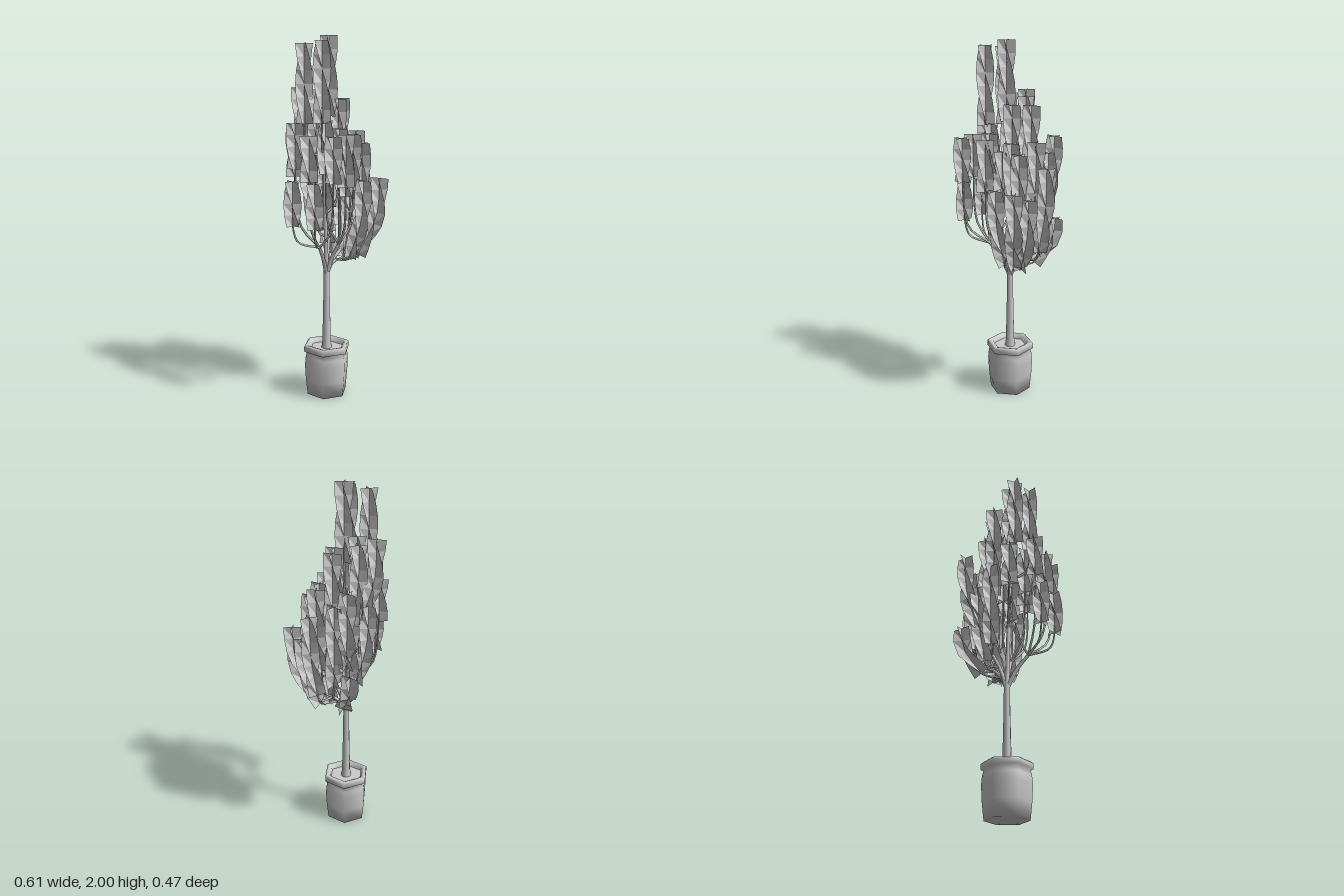
import * as THREE from 'three';

const V = (x, y, z) => new THREE.Vector3(x, y, z);
const wood = new THREE.MeshStandardMaterial({ color: 0xcccccc });
const clay = new THREE.MeshStandardMaterial({ color: 0xcccccc, side: THREE.DoubleSide });
const foliage = new THREE.MeshStandardMaterial({ color: 0xcccccc, side: THREE.DoubleSide, flatShading: true });
const axis = V(-0.02, 0, -0.022); // centre of pot and trunk

function add(parent, name, geometry, material) {
  const mesh = new THREE.Mesh(geometry, material);
  mesh.name = name;
  parent.add(mesh);
  return mesh;
}

// Solid of revolution from a short profile of radius and height
function turned(profile, sides) {
  return new THREE.LatheGeometry(profile.map(p => new THREE.Vector2(...p)), sides);
}

// Tube along points whose radius runs from r0 to r1
function taperedTube(points, r0, r1, sides) {
  const curve = new THREE.CatmullRomCurve3(points);
  const rings = 10;
  const geo = new THREE.TubeGeometry(curve, rings, 1, sides);
  const pos = geo.attributes.position;
  for (let i = 0; i < pos.count; i++) {
    const t = Math.floor(i / (sides + 1)) / rings;
    const c = curve.getPointAt(t);
    const p = V().fromBufferAttribute(pos, i).sub(c).multiplyScalar(r0 + (r1 - r0) * t).add(c);
    pos.setXYZ(i, p.x, p.y, p.z);
  }
  return geo;
}

// Two crossed blades winding slowly round their shared path:
// each row has the midrib followed by four outer corners
function twistedLeaf(points, startAngle) {
  const curve = new THREE.CatmullRomCurve3(points);
  const rows = Math.max(4, Math.round(curve.getLength() / 0.068));
  const half = 0.048, verts = [], index = [];
  for (let i = 0; i <= rows; i++) {
    const c = curve.getPointAt(i / rows), t = curve.getTangentAt(i / rows);
    verts.push(c.x, c.y, c.z);
    for (let k = 0; k < 4; k++) {
      const a = startAngle + i * Math.PI / 7 + k * Math.PI / 2;
      const across = V(Math.cos(a), 0, Math.sin(a));
      across.addScaledVector(t, -across.dot(t)).normalize();
      const p = c.clone().addScaledVector(across, half);
      verts.push(p.x, p.y, p.z);
    }
  }
  for (let i = 0; i < rows; i++) for (let k = 1; k <= 4; k++) {
    const a = i * 5, b = a + 5;
    index.push(a, a + k, b + k, a, b + k, b);
  }
  const geo = new THREE.BufferGeometry();
  geo.setAttribute('position', new THREE.Float32BufferAttribute(verts, 3));
  geo.setIndex(index);
  geo.computeVertexNormals();
  return geo;
}

// Limb from the trunk to a fork, with leaves given by their tips.
// lean is how far each leaf's foot is drawn in towards the fork.
function limb(name, fork, length, lean, tips) {
  const group = new THREE.Group();
  group.name = name;
  const end = V(...fork);
  const root = V(axis.x, 0.7, axis.z);
  const bend = root.clone().lerp(end, 0.5);
  bend.y += 0.02;
  add(group, 'limb', taperedTube([root, bend, end], 0.013, 0.009, 6), wood);

  tips.forEach(([x, y, z], i) => {
    const tip = V(x, y, z);
    const foot = tip.clone().lerp(end, lean);
    foot.y = Math.max(0.79, y - length);
    // Twig sweeps outward first, then turns up into the leaf
    const start = end.y < foot.y ? end : bend;
    const elbow = V(
      THREE.MathUtils.lerp(start.x, foot.x, 0.8),
      THREE.MathUtils.lerp(start.y, foot.y, 0.3),
      THREE.MathUtils.lerp(start.z, foot.z, 0.8));
    add(group, 'twig', taperedTube([start, elbow, foot, foot.clone().lerp(tip, 0.2)], 0.007, 0.004, 5), wood);

    // Leaning leaves bow outward, so their upper half stands upright
    const mid = tip.clone().lerp(foot, 0.15);
    mid.y = (tip.y + foot.y) / 2;
    add(group, 'leaf', twistedLeaf([foot, mid, tip], i * 1.1), foliage);
  });
  return group;
}

export function createModel() {
  const model = new THREE.Group();
  model.name = 'pottedTree';

  // Six-sided pot with a thick rim, filled with soil
  const pot = turned([[0, 0], [.116, 0], [.126, .09], [.131, .18], [.127, .225], [.12, .252], [.135, .258],
    [.135, .288], [.124, .296], [.104, .29], [.098, .265]], 6);
  add(model, 'pot', pot, clay).position.copy(axis);
  const soil = new THREE.CircleGeometry(0.1, 6).rotateZ(Math.PI / 2).rotateX(-Math.PI / 2);
  add(model, 'soil', soil, clay).position.set(axis.x, 0.268, axis.z);

  // Trunk with a flared foot
  const trunk = turned([[.03, .26], [.024, .31], [.018, .58], [.017, .7], [.011, .82]], 8);
  add(model, 'trunk', trunk, wood).position.copy(axis);

  model.add(
    limb('leftLimb', [-.13, .88, .02], .24, 0, [
      [-.26, 1.25, -.055], [-.23, 1.55, -.06], [-.235, 1.49, .04],
      [-.255, 1.25, .095], [-.195, 1.49, .17], [-.125, 1.49, -.16]]),
    limb('frontLimb', [0, .88, .05], .28, 0, [
      [-.1, 1.56, .04], [-.06, 1.52, .1], [-.055, 1.49, .14], [.015, 1.43, .085], [.08, 1.48, .085]]),
    limb('rightLimb', [.08, .83, 0], .47, .3, [
      [.145, 1.43, .1], [.195, 1.49, .02], [.26, 1.36, .015], [.19, 1.42, -.09], [.12, 1.67, -.03]]),
    limb('lowLimb', [.03, .78, .01], .43, .5, [
      [.05, 1.24, .18], [.185, 1.24, .19], [.12, 1.17, .03], [.21, 1.2, .1], [.175, 1.04, -.18]]),
    limb('backLimb', [.05, .9, -.06], .45, .5, [
      [.175, 1.5, -.16], [-.045, 1.73, -.19], [.01, 1.7, -.12], [-.01, 1.38, -.17], [.1, 1.3, -.13]]),
    limb('crownLimb', [-.04, 1.35, -.02], .42, 0, [
      [-.025, 2, 0], [-.12, 1.96, -.09], [-.135, 1.97, .045], [.03, 1.67, .02], [-.06, 1.72, -.06]]));
  return model;
}
